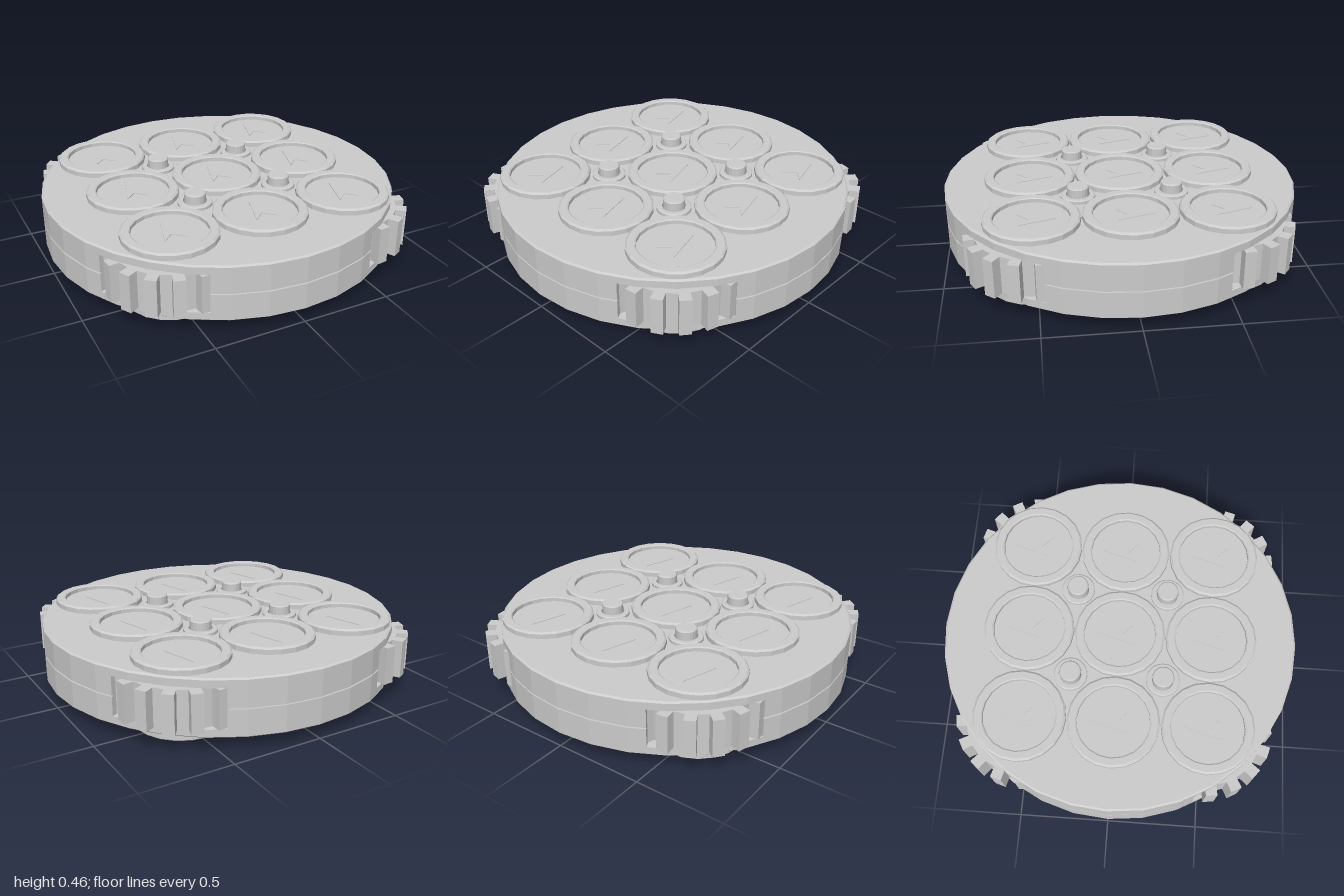
import * as THREE from 'three';

const MID = 0.2275;    // mid-height of the case
const PITCH = 0.517;   // spacing of the dials
const material = new THREE.MeshStandardMaterial({ color: 0xcccccc, flatShading: true });

function add(parent, geometry, name, x = 0, y = 0, z = 0) {
  const mesh = new THREE.Mesh(geometry, material);
  mesh.name = name;
  mesh.position.set(x, y, z);
  parent.add(mesh);
  return mesh;
}

const lathe = (points, sides) =>
  new THREE.LatheGeometry(points.map(([r, y]) => new THREE.Vector2(r, y)), sides);

// Extrude a plan shape upwards; shape y becomes -z
function slab(points, height) {
  const shape = new THREE.Shape(points.map(([x, y]) => new THREE.Vector2(x, y)));
  return new THREE.ExtrudeGeometry(shape, { depth: height, bevelEnabled: false }).rotateX(-Math.PI / 2);
}

// 32-sided outline with a notch at each diagonal for the gears
function notchedOutline(radius) {
  const points = [];
  const step = Math.PI / 16;
  const half = THREE.MathUtils.degToRad(17);
  const polar = (r, a) => points.push([r * Math.cos(a), r * Math.sin(a)]);
  // distance to the straight polygon side at any angle
  const side = (a) => {
    const local = a - Math.floor(a / step) * step - step / 2;
    return radius * Math.cos(step / 2) / Math.cos(local);
  };
  for (let q = 0; q < 4; q++) {
    const start = q * Math.PI / 2;
    const c = start + Math.PI / 4;
    for (const k of [0, 1, 2]) polar(radius, start + k * step);
    polar(side(c - half), c - half);
    polar(0.8, c - half);
    polar(0.8, c + half);
    polar(side(c + half), c + half);
    for (const k of [6, 7]) polar(radius, start + k * step);
  }
  return points;
}

function gearGeometry() {
  const points = [];
  const teeth = 16;
  for (let i = 0; i < teeth; i++) {
    const a = THREE.MathUtils.degToRad(6.2) + i * 2 * Math.PI / teeth;
    for (const [r, d] of [[0.3, -0.1], [0.358, -0.088], [0.358, 0.088], [0.3, 0.1]]) {
      points.push([r * Math.cos(a + d), r * Math.sin(a + d)]);
    }
  }
  return slab(points, 0.21);
}

// Everything that sits on one face of the case, measured from mid-height
function createFace(name) {
  const face = new THREE.Group();
  face.name = name;

  // Case cover with a fine bevelled edge
  add(face, lathe([[0, 0.108], [1, 0.108], [1, 0.148], [0.99, 0.156], [0, 0.156]], 32), 'caseCover');
  // Side wall, stopping short of the seam
  add(face, slab(notchedOutline(1), 0.105), 'caseWall', 0, 0.004, 0);

  const rim = lathe([[0.257, 0.15], [0.257, 0.183], [0.246, 0.192], [0.209, 0.192],
    [0.202, 0.187], [0.202, 0.165]], 20);
  const dial = lathe([[0.204, 0.166], [0, 0.166]], 20);
  const arrow = slab([[0, 0.13], [-0.06, -0.075], [0, -0.018], [0.06, -0.075]], 0.006);
  for (let i = -1; i <= 1; i++) {
    for (let j = -1; j <= 1; j++) {
      const x = i * PITCH, z = j * PITCH;
      add(face, rim, 'dialRim', x, 0, z);
      add(face, dial, 'dialFace', x, 0, z);
      add(face, arrow, 'dialArrow', x, 0.164, z);
    }
  }

  // Push pins in their collars
  const collar = lathe([[0.095, 0.15], [0.095, 0.172], [0.088, 0.177], [0.066, 0.177], [0.066, 0.15]], 20);
  const pin = lathe([[0.06, 0.1], [0.06, 0.221], [0.054, 0.2275], [0, 0.2275]], 20);
  for (const x of [-PITCH / 2, PITCH / 2]) {
    for (const z of [-PITCH / 2, PITCH / 2]) {
      add(face, collar, 'pinCollar', x, 0, z);
      add(face, pin, 'pin', x, 0, z);
    }
  }
  face.position.y = MID;
  return face;
}

export function createModel() {
  const model = new THREE.Group();
  model.name = 'dialPuzzle';

  // Two matching faces, the lower one turned over
  const upper = createFace('upperFace');
  const lower = createFace('lowerFace');
  lower.rotation.z = Math.PI;
  model.add(upper, lower);

  // Recessed seam between the case halves
  add(model, slab(notchedOutline(0.99), 0.012), 'caseSeam', 0, MID - 0.006, 0);

  // Corner gears
  const gear = gearGeometry();
  for (const x of [-PITCH, PITCH]) {
    for (const z of [-PITCH, PITCH]) add(model, gear, 'cornerGear', x, MID - 0.105, z);
  }
  return model;
}
